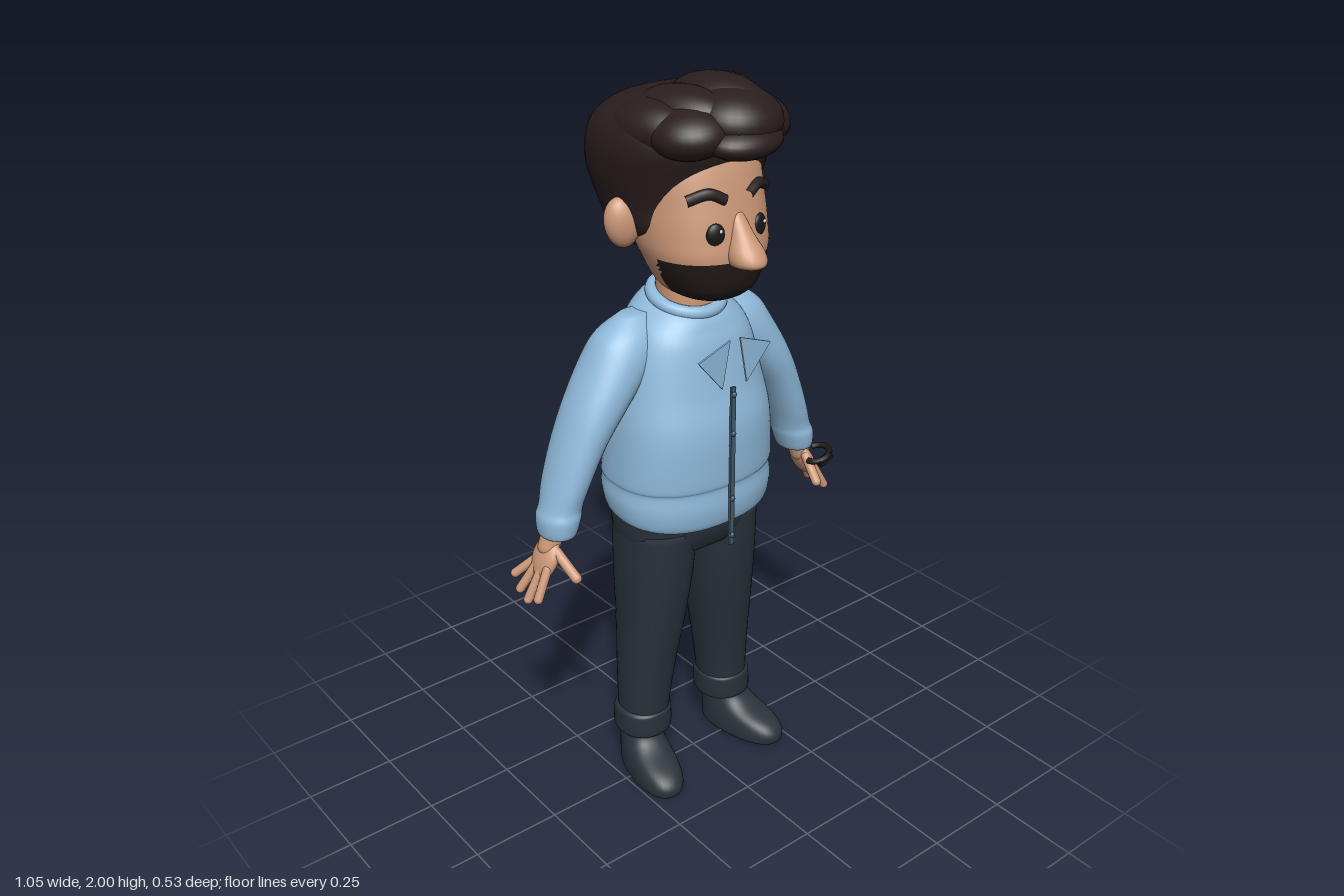
import * as THREE from 'three';

const paint = (name, color) => {
  const m = new THREE.MeshStandardMaterial({ color });
  m.name = name;
  return m;
};

// Cubic interpolation of section rows, k is a fractional row index
function sample(rows, k) {
  const i = Math.min(Math.floor(k), rows.length - 2), t = k - i;
  const row = (j) => rows[Math.max(0, Math.min(rows.length - 1, j))];
  return rows[i].map((b, c) => {
    const a = row(i - 1)[c], d = row(i + 1)[c], e = row(i + 2)[c];
    return b + 0.5 * t * (d - a + t * (2 * a - 5 * b + 4 * d - e + t * (3 * (b - d) + e - a)));
  });
}

// Closed loft of superellipse rings; row = [y, halfWidth, zFront, zBack, centreX]
function loft(rows, { p = 2.2, seg = 40, sub = 5, warp } = {}) {
  const pos = [], idx = [], n = (rows.length - 1) * sub;
  const pw = (v) => Math.sign(v) * Math.abs(v) ** (2 / p);
  const add = (x, y, z) => pos.push(x, warp ? warp(x, y, z) : y, z);
  for (let i = 0; i <= n; i++) {
    const [y, w, f, b, cx = 0] = sample(rows, i / sub);
    for (let j = 0; j < seg; j++) {
      const t = (j / seg) * Math.PI * 2;
      add(cx + w * pw(Math.cos(t)), y, (f + b) / 2 + ((f - b) / 2) * pw(Math.sin(t)));
    }
  }
  for (let i = 0; i < n; i++) for (let j = 0; j < seg; j++) {
    const a = i * seg + j, b = i * seg + ((j + 1) % seg);
    idx.push(a, a + seg, b, b, a + seg, b + seg);
  }
  for (const [r, ring] of [[rows[0], 0], [rows.at(-1), n]]) {
    const c = pos.length / 3;
    add(r[4] ?? 0, r[0], (r[2] + r[3]) / 2);
    for (let j = 0; j < seg; j++) {
      const a = ring * seg + j, b = ring * seg + ((j + 1) % seg);
      if (ring) idx.push(c, b, a); else idx.push(c, a, b);
    }
  }
  const g = new THREE.BufferGeometry();
  g.setAttribute('position', new THREE.Float32BufferAttribute(pos, 3));
  g.setIndex(idx);
  g.computeVertexNormals();
  return g;
}

// Reorders triangles into two material groups by a test on their centre
function splitFaces(g, test) {
  const p = g.attributes.position, ix = g.index.array, parts = [[], []];
  const mid = (k, get) => (p[get](ix[k]) + p[get](ix[k + 1]) + p[get](ix[k + 2])) / 3;
  for (let k = 0; k < ix.length; k += 3) {
    parts[test(mid(k, 'getY'), mid(k, 'getZ')) ? 1 : 0].push(ix[k], ix[k + 1], ix[k + 2]);
  }
  g.setIndex([...parts[0], ...parts[1]]);
  g.addGroup(0, parts[0].length, 0);
  g.addGroup(parts[0].length, parts[1].length, 1);
  return g;
}

export function createModel() {
  const model = new THREE.Group();
  const skin = paint('skin', 0xcb9878), hair = paint('hair', 0x2a1e1e), beard = paint('beard', 0x221918);
  const knit = paint('sweater blue', 0x8fb9da), cloth = paint('trouser slate', 0x28323a);
  const shoe = paint('shoe slate', 0x2a343b), black = paint('black', 0x1a1717);
  const zip = paint('zip blue', 0x3f586a), white = paint('eye glint', 0xe8e2dc);
  knit.side = THREE.DoubleSide;

  const put = (name, geo, mat) => {
    const m = new THREE.Mesh(geo, mat);
    m.name = name;
    model.add(m);
    return m;
  };
  const blob = (name, mat, [x, y, z], [a, b, c], rot = [0, 0, 0]) => {
    const m = put(name, new THREE.SphereGeometry(1, 28, 20), mat);
    m.position.set(x, y, z);
    m.scale.set(a, b, c);
    m.rotation.set(...rot);
  };
  const limb = (name, mat, from, to, r) => {
    const a = new THREE.Vector3(...from), d = new THREE.Vector3(...to).sub(a);
    const m = put(name, new THREE.CapsuleGeometry(r, d.length(), 6, 14), mat);
    m.position.copy(a).addScaledVector(d, 0.5);
    m.quaternion.setFromUnitVectors(new THREE.Vector3(0, 1, 0), d.normalize());
  };
  const tube = (name, mat, pts, r) => put(name, new THREE.TubeGeometry(
    new THREE.CatmullRomCurve3(pts.map((q) => new THREE.Vector3(...q))), 20, r, 10), mat);

  // Head with the beard as its lower front faces
  const headGeo = loft([
    [1.455, 0.05, 0.12, 0.0], [1.47, 0.09, 0.155, -0.04], [1.5, 0.125, 0.18, -0.08], [1.575, 0.158, 0.193, -0.12],
    [1.63, 0.168, 0.186, -0.15], [1.7, 0.168, 0.172, -0.16], [1.8, 0.16, 0.145, -0.15], [1.88, 0.12, 0.1, -0.1],
  ], { seg: 72, sub: 7 });
  put('head', splitFaces(headGeo, (y, z) => y < 1.575 && z > 0.05), [skin, beard]);
  put('neck', loft([[1.34, 0.085, 0.05, -0.11], [1.46, 0.078, 0.045, -0.105], [1.6, 0.085, 0.05, -0.12]]), skin);
  put('nose', loft([
    [1.556, 0.015, 0.22, 0.15], [1.572, 0.042, 0.258, 0.15], [1.6, 0.045, 0.25, 0.15],
    [1.64, 0.03, 0.215, 0.15], [1.69, 0.018, 0.175, 0.14],
  ], { p: 2, seg: 24 }), skin);

  // Hair cap and swept locks
  put('hairCap', loft([
    [1.55, 0.06, -0.07, -0.12], [1.57, 0.125, -0.03, -0.165], [1.6, 0.162, 0.01, -0.19], [1.635, 0.185, 0.1, -0.21],
    [1.7, 0.203, 0.11, -0.24], [1.77, 0.221, 0.13, -0.264], [1.84, 0.229, 0.15, -0.254],
    [1.9, 0.212, 0.14, -0.222], [1.945, 0.155, 0.11, -0.15], [1.965, 0.06, 0.06, -0.04],
  ], { p: 2.4, seg: 56 }), hair);
  [
    [[0, 1.868, 0.185], [0.105, 0.042, 0.078], [0.15, 0, 0.05]],
    [[0.02, 1.905, 0.13], [0.12, 0.075, 0.115], [0.1, 0.3, 0]],
    [[-0.1, 1.885, 0.11], [0.095, 0.06, 0.1], [0, 0.5, 0.2]],
    [[0.11, 1.885, 0.09], [0.09, 0.065, 0.11], [0, -0.4, -0.2]],
    [[0.025, 1.93, 0.06], [0.085, 0.07, 0.14], [0, 0.2, 0]],
    [[-0.075, 1.92, 0.05], [0.075, 0.06, 0.13], [0, 0.25, 0.2]],
    [[0.12, 1.92, 0.0], [0.065, 0.055, 0.12], [0, -0.2, -0.3]],
    [[-0.145, 1.89, 0.02], [0.07, 0.06, 0.12], [0, 0.2, 0.5]],
    [[0.165, 1.865, 0.02], [0.06, 0.06, 0.11], [0, -0.2, -0.4]],
  ].forEach((l) => blob('hairLock', hair, ...l));

  // Sweater body, collar and zip
  const step = (y) => THREE.MathUtils.smoothstep(y, 1.32, 1.43);
  put('sweaterBody', loft([
    [0.84, 0.2, 0.12, -0.17], [0.85, 0.232, 0.142, -0.197], [0.9, 0.242, 0.153, -0.213], [0.945, 0.238, 0.15, -0.217],
    [0.97, 0.241, 0.156, -0.213], [1.1, 0.229, 0.154, -0.195], [1.2, 0.212, 0.13, -0.19],
    [1.3, 0.19, 0.108, -0.185], [1.37, 0.16, 0.09, -0.165], [1.41, 0.12, 0.078, -0.14], [1.43, 0.09, 0.06, -0.115],
  ], { p: 2.3, seg: 56, warp: (x, y, z) => y - (z + 0.03) * (0.28 * step(y) + 0.12 * (1 - THREE.MathUtils.smoothstep(y, 0.86, 1))) }), knit);
  const collar = put('collar', new THREE.TorusGeometry(0.09, 0.018, 14, 48), knit);
  collar.rotation.x = Math.PI / 2 + 0.27;
  collar.position.set(0, 1.427, -0.03);
  put('zipLine', new THREE.BoxGeometry(0.014, 0.46, 0.008), zip).position.set(0, 1.0, 0.16);
  [0.8, 0.91, 1.1, 1.21].forEach((y) => blob('zipStud', zip, [0, y, 0.165], [0.007, 0.008, 0.006]));

  for (const s of [1, -1]) {
    const side = (rows) => rows.map(([y, w, f, b, cx]) => [y, w, f, b, cx * s]);

    // Face details
    blob('ear', skin, [s * 0.198, 1.655, -0.03], [0.045, 0.064, 0.034], [0, s * 0.3, s * -0.15]);
    blob('eye', black, [s * 0.069, 1.645, 0.168], [0.024, 0.029, 0.012], [0, s * 0.3, 0]);
    blob('eyeGlint', white, [s * 0.069 + 0.008, 1.655, 0.179], [0.005, 0.005, 0.003]);
    tube('eyebrow', hair, [[s * 0.035, 1.724, 0.163], [s * 0.075, 1.742, 0.15], [s * 0.122, 1.727, 0.124]], 0.014);

    // Collar points
    const flap = new THREE.Shape([[0.016, 1.363], [0.118, 1.326], [0.04, 1.236]].map(([x, y]) => new THREE.Vector2(s * x, y)));
    put('collarPoint', new THREE.ExtrudeGeometry(flap, { depth: 0.005, bevelEnabled: false }), knit).position.z = 0.162;

    // Sleeve with a gathered cuff
    put('sleeve', loft(side([
      [0.86, 0.038, -0.005, -0.095, 0.413], [0.868, 0.047, 0.01, -0.108, 0.414], [0.91, 0.055, 0.016, -0.115, 0.407],
      [0.94, 0.053, 0.012, -0.115, 0.397], [1.0, 0.056, 0.02, -0.13, 0.375], [1.1, 0.066, 0.028, -0.14, 0.33],
      [1.2, 0.085, 0.035, -0.147, 0.268], [1.3, 0.1, 0.03, -0.15, 0.196], [1.36, 0.09, 0.01, -0.13, 0.165], [1.405, 0.05, -0.03, -0.09, 0.14],
    ]), { p: 2.1 }), knit);

    // Hand
    limb('wrist', skin, [s * 0.405, 0.93, -0.05], [s * 0.44, 0.83, -0.05], 0.03);
    blob('palm', skin, [s * 0.452, 0.802, -0.05], [0.024, 0.06, 0.047], [0, 0, s * 0.45]);
    [[-0.02, 0.506, 0.712, -0.01], [-0.043, 0.513, 0.697, -0.048], [-0.065, 0.512, 0.712, -0.086], [-0.083, 0.508, 0.745, -0.113]]
      .forEach(([z, x, y, tz]) => limb('finger', skin, [s * 0.467, 0.785, z], [s * x, y, tz], 0.0125));
    limb('thumb', skin, [s * 0.437, 0.825, -0.02], [s * 0.422, 0.77, 0.045], 0.014);

    // Trouser leg, turn-up and shoe
    put('trouserLeg', loft(side([
      [0.13, 0.07, 0.02, -0.125, 0.146], [0.22, 0.071, 0.026, -0.127, 0.144], [0.35, 0.079, 0.04, -0.136, 0.135],
      [0.5, 0.09, 0.062, -0.145, 0.123], [0.65, 0.1, 0.08, -0.158, 0.113], [0.8, 0.105, 0.09, -0.165, 0.106],
    ])), cloth);
    put('trouserCuff', loft(side([
      [0.125, 0.068, 0.02, -0.122, 0.148], [0.132, 0.079, 0.031, -0.134, 0.149], [0.18, 0.079, 0.031, -0.134, 0.148],
      [0.196, 0.077, 0.029, -0.132, 0.147], [0.203, 0.068, 0.02, -0.122, 0.146],
    ])), cloth);
    const foot = put('shoe', loft([
      [0, 0.058, 0.165, -0.085], [0.008, 0.067, 0.18, -0.1], [0.035, 0.068, 0.18, -0.1], [0.062, 0.065, 0.15, -0.1],
      [0.09, 0.06, 0.08, -0.095], [0.115, 0.055, 0.045, -0.09], [0.15, 0.045, 0.03, -0.08],
    ], { p: 2.3 }), shoe);
    foot.position.set(s * 0.165, 0, -0.02);
    foot.rotation.y = s * 0.2;
  }

  // Trouser seat
  put('trouserSeat', loft([
    [0.715, 0.17, 0.05, -0.12], [0.73, 0.195, 0.075, -0.15], [0.79, 0.213, 0.097, -0.172], [0.88, 0.214, 0.1, -0.175],
  ], { p: 2.6 }), cloth);

  // Watch on the left wrist
  const strap = put('watchStrap', new THREE.TorusGeometry(0.038, 0.009, 10, 32, Math.PI * 1.35), black);
  strap.position.set(0.462, 0.832, 0.0);
  strap.rotation.set(Math.PI / 2, 0.3, -1.2);
  const face = put('watchFace', new THREE.BoxGeometry(0.05, 0.022, 0.014), black);
  face.position.set(0.464, 0.826, 0.034);
  face.rotation.z = 0.4;
  return model;
}
